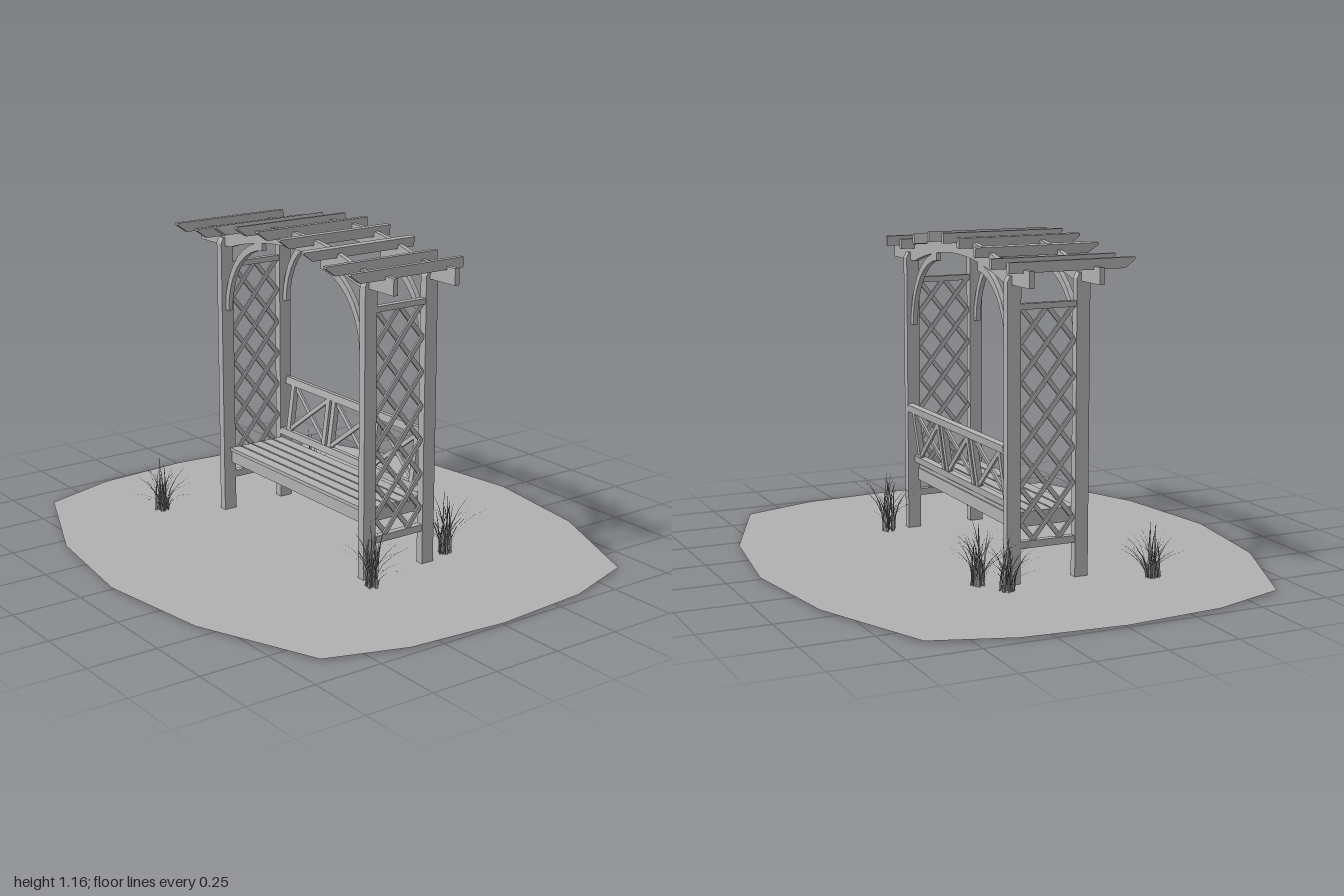
import * as THREE from 'three';

const mat = (name, color, side = THREE.FrontSide) => {
  const m = new THREE.MeshStandardMaterial({ color, side });
  m.name = name;
  return m;
};

export function createModel() {
  const root = new THREE.Group();
  root.name = 'gardenArbor';
  const wood = mat('wood', 0xb0b0b0);
  const soil = mat('ground', 0xb0b0b0, THREE.DoubleSide);
  const leaf = mat('grass', 0x888888, THREE.DoubleSide);

  const add = (parent, name, geo, m = wood) => {
    const mesh = new THREE.Mesh(geo, m);
    mesh.name = name;
    parent.add(mesh);
    return mesh;
  };
  // box given by its limits on each axis
  const box = (parent, name, [x0, x1], [y0, y1], [z0, z1]) => {
    const b = add(parent, name, new THREE.BoxGeometry(x1 - x0, y1 - y0, z1 - z0));
    b.position.set((x0 + x1) / 2, (y0 + y1) / 2, (z0 + z1) / 2);
    return b;
  };
  const shapeOf = pts => new THREE.Shape(pts.map(p => new THREE.Vector2(p[0], p[1])));
  // extrusion centred on its depth, drawn in x/y
  const plate = (pts, depth) => new THREE.ExtrudeGeometry(shapeOf(pts), { depth, bevelEnabled: false })
    .translate(0, 0, -depth / 2);
  // extrusion drawn in z/y, with its depth along x
  const sidePlate = (pts, depth) => plate(pts.map(([z, y]) => [-z, y]), depth).rotateY(Math.PI / 2);

  // ground
  const quarter = [[0, -1], [0.36, -0.97], [0.64, -0.875], [0.82, -0.437], [0.88, 0]];
  const half = [...quarter, ...quarter.slice(0, 4).reverse().map(([x, z]) => [x, -z])];
  const rim = [...half, ...half.slice(1, -1).reverse().map(([x, z]) => [-x, z])];
  add(root, 'ground', new THREE.ShapeGeometry(shapeOf(rim.map(([x, z]) => [x, -z]))).rotateX(-Math.PI / 2), soil)
    .position.y = 0.006;

  // posts with chamfered tops
  const postX = [-0.126, 0.131];
  const postZ = 0.433;
  const postShape = [[-0.025, 0.006], [0.025, 0.006], [0.025, 1.035], [0.015, 1.055], [-0.015, 1.055], [-0.025, 1.035]];
  for (const x of postX) for (const s of [-1, 1])
    add(root, 'post', plate(postShape, 0.03)).position.set(x, 0, s * postZ);

  // arched beams
  const arch = (z, top, drop) => top - drop * Math.min(1, (z / 0.385) ** 2);
  const upper = [], lower = [];
  for (let i = -8; i <= 8; i++) {
    const z = i / 8 * 0.385;
    upper.push([z, arch(z, 1.145, 0.062)]);
    lower.push([z, arch(z, 1.087, 0.062)]);
  }
  const beamPts = [[-0.577, 1.083], ...upper, [0.577, 1.083], [0.577, 1.025], ...lower.reverse(), [-0.577, 1.025]];
  // curved braces below the beams
  const bracePts = [];
  const N = 9;
  for (let i = 0; i <= N; i++) {
    const a = i / N * 1.5;
    bracePts.push([0.158 + 0.262 * Math.cos(a), 0.785 + 0.29 * Math.sin(a)]);
  }
  for (let i = N; i >= 0; i--) {
    const a = i / N * 1.5;
    bracePts.push([0.158 + 0.24 * Math.cos(a), 0.785 + 0.262 * Math.sin(a)]);
  }
  for (const x of postX) {
    add(root, 'archedBeam', sidePlate(beamPts, 0.018)).position.x = x;
    for (const s of [-1, 1])
      add(root, 'brace', sidePlate(bracePts.map(([z, y]) => [s * z, y]), 0.018)).position.x = x;
  }

  // rafters following the arch, cut at a slant on one end
  const rafterPts = [[-0.235, -0.018], [0.192, -0.018], [0.192, 0.018], [-0.273, 0.018], [-0.273, 0.01]];
  for (const z of [-0.525, -0.39, -0.265, -0.13, 0, 0.13, 0.265, 0.39, 0.525]) {
    const r = add(root, 'rafter', plate(rafterPts, 0.019));
    r.position.set(0, arch(z, 1.143, 0.053), z);
    r.rotation.x = Math.abs(z) < 0.38 ? z * 0.8 : 0;
  }

  // strip between two points of an x/y plane
  const strip = (parent, name, a, b, width, depth, offset) => {
    const s = add(parent, name, new THREE.BoxGeometry(Math.hypot(b[0] - a[0], b[1] - a[1]), width, depth));
    s.position.set((a[0] + b[0]) / 2, (a[1] + b[1]) / 2, offset);
    s.rotation.z = Math.atan2(b[1] - a[1], b[0] - a[0]);
  };

  // lattice side panels
  const xa = -0.101, xb = 0.106, ya = 0.135, yb = 0.95, slope = 1.22, pitch = 0.122;
  const mid = (xa + xb) / 2;
  for (const s of [-1, 1]) {
    const panel = new THREE.Group();
    panel.name = 'latticePanel';
    panel.position.z = s * postZ;
    box(panel, 'topRail', [xa, xb], [0.94, 0.96], [-0.012, 0.012]);
    box(panel, 'bottomRail', [xa, xb], [0.127, 0.152], [-0.012, 0.012]);
    for (const dir of [-1, 1]) {
      const k = slope * dir;
      for (let c = yb - 9 * pitch; c < yb + 0.13; c += pitch) {
        // clip the line y = c + k (x - mid) to the panel
        const cuts = [(ya - c) / k + mid, (yb - c) / k + mid].sort((p, q) => p - q);
        const x0 = Math.max(xa, cuts[0]), x1 = Math.min(xb, cuts[1]);
        if (x1 - x0 < 0.015) continue;
        strip(panel, 'latticeStrip', [x0, c + k * (x0 - mid)], [x1, c + k * (x1 - mid)], 0.016, 0.007, dir * 0.0035);
      }
    }
    root.add(panel);
  }

  // seat
  for (let i = 0; i < 5; i++) {
    const x = -0.123 + i * 0.048;
    box(root, 'seatSlat', [x, x + 0.042], [0.235, 0.248], [-0.418, 0.418]);
  }
  for (const x of [-0.118, 0.098]) box(root, 'seatApron', [x, x + 0.018], [0.19, 0.235], [-0.418, 0.418]);
  for (const z of [-0.405, 0, 0.405]) box(root, 'seatSupport', [-0.1, 0.098], [0.195, 0.235], [z - 0.01, z + 0.01]);

  // leaning backrest, its own x running along the bench
  const back = new THREE.Group();
  back.name = 'backrest';
  back.position.set(0.116, 0.26, 0);
  back.rotation.z = -0.14;
  const frame = new THREE.Group();
  frame.name = 'backrestFrame';
  frame.rotation.y = Math.PI / 2;
  back.add(frame);
  box(frame, 'topRail', [-0.418, 0.418], [0.198, 0.226], [-0.012, 0.012]);
  box(frame, 'bottomRail', [-0.418, 0.418], [0, 0.026], [-0.012, 0.012]);
  for (const c of [-0.26, 0, 0.26]) {
    for (const s of [-1, 1]) {
      box(frame, 'stile', [c + s * 0.113 - 0.011, c + s * 0.113 + 0.011], [0.026, 0.198], [-0.01, 0.01]);
      strip(frame, 'crossBar', [c - 0.105, 0.112 - s * 0.08], [c + 0.105, 0.112 + s * 0.08], 0.016, 0.009, s * 0.004);
    }
  }
  root.add(back);

  // grass clumps of curved, tapering blades
  let seed = 7;
  const rnd = () => (seed = (seed * 16807) % 2147483647) / 2147483647;
  const grassClump = (cx, cz, height, spread) => {
    const pos = [], idx = [];
    for (let b = 0; b < 34; b++) {
      const a = b * 2.4 + rnd() * 0.5, r0 = 0.024 * Math.sqrt(rnd());
      const a0 = rnd() * Math.PI * 2;
      const reach = spread * (0.15 + 0.85 * rnd()), h = height * (0.5 + 0.5 * rnd()) * (1 - 0.35 * reach / spread);
      const start = pos.length / 3;
      for (let i = 0; i <= 4; i++) {
        const t = i / 4, w = 0.0034 * (1 - t) + 0.0003;
        const d = reach * t * t, y = h * (1.35 * t - 0.35 * t * t);
        const x = r0 * Math.cos(a0) + d * Math.cos(a), z = r0 * Math.sin(a0) + d * Math.sin(a);
        pos.push(x - w * Math.sin(a), y, z + w * Math.cos(a), x + w * Math.sin(a), y, z - w * Math.cos(a));
        if (i < 4) {
          const k = start + i * 2;
          idx.push(k, k + 1, k + 2, k + 1, k + 3, k + 2);
        }
      }
    }
    const g = new THREE.BufferGeometry();
    g.setAttribute('position', new THREE.Float32BufferAttribute(pos, 3));
    g.setIndex(idx);
    g.computeVertexNormals();
    add(root, 'grassClump', g, leaf).position.set(cx, 0, cz);
  };
  grassClump(-0.345, -0.56, 0.23, 0.13);
  grassClump(0.18, -0.5, 0.24, 0.12);
  grassClump(0.24, -0.4, 0.29, 0.13);
  grassClump(0.24, 0.41, 0.28, 0.15);
  grassClump(-0.16, 0.51, 0.26, 0.13);

  return root;
}
